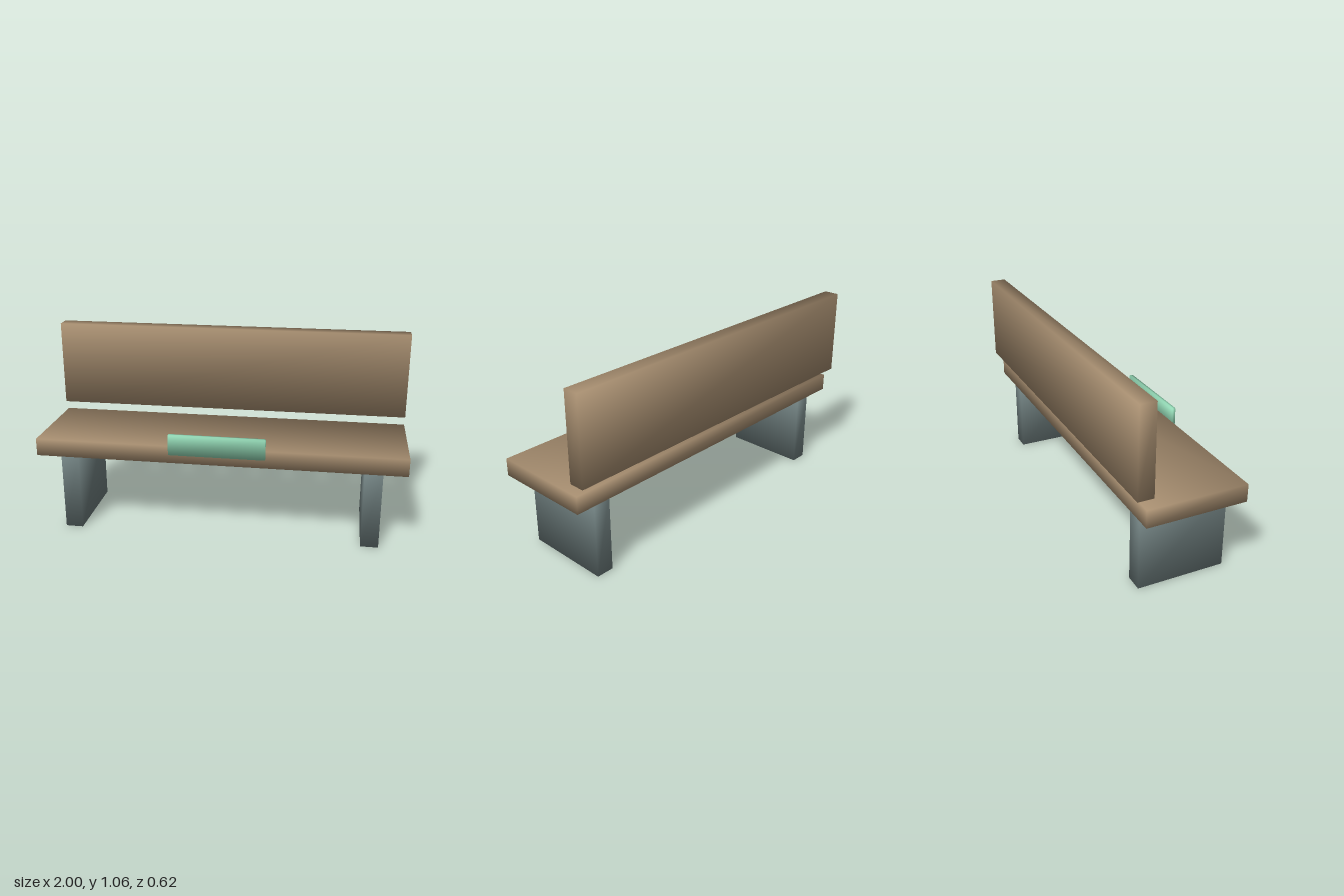
import * as THREE from 'three';
import { RoundedBoxGeometry } from 'three/addons/geometries/RoundedBoxGeometry.js';

// Smooth normals shared at each corner, pointing out along the diagonal
function softenCorners(geometry) {
  const p = geometry.attributes.position;
  const n = geometry.attributes.normal;
  const v = new THREE.Vector3();
  for (let i = 0; i < p.count; i++) {
    v.set(Math.sign(p.getX(i)), Math.sign(p.getY(i)), Math.sign(p.getZ(i))).normalize();
    n.setXYZ(i, v.x, v.y, v.z);
  }
  return geometry;
}

// Block given by its lower and upper corners, with an optional chamfer
function block(name, material, [x0, y0, z0], [x1, y1, z1], chamfer = 0) {
  const size = [x1 - x0, y1 - y0, z1 - z0];
  const geometry = chamfer
    ? new RoundedBoxGeometry(...size, 1, chamfer)
    : new THREE.BoxGeometry(...size);
  const mesh = new THREE.Mesh(softenCorners(geometry), material);
  mesh.name = name;
  mesh.position.set((x0 + x1) / 2, (y0 + y1) / 2, (z0 + z1) / 2);
  return mesh;
}

export function createModel() {
  const wood = new THREE.MeshStandardMaterial({ color: 0xa88f71 });
  wood.name = 'wood';
  const stone = new THREE.MeshStandardMaterial({ color: 0x728282 });
  stone.name = 'greyStone';
  const mint = new THREE.MeshStandardMaterial({ color: 0x93d8b5 });
  mint.name = 'mintGreen';

  const bench = new THREE.Group();
  bench.name = 'bench';

  // Seat plank and floating backrest plank
  bench.add(block('seat', wood, [-1, 0.435, -0.26], [1, 0.53, 0.28]));
  bench.add(block('backrest', wood, [-1, 0.585, -0.308], [1, 1.06, -0.223]));

  // Slab legs, mirrored
  for (const [name, x] of [['leftLeg', 0.825], ['rightLeg', -0.825]]) {
    bench.add(block(name, stone, [x - 0.048, 0, -0.228], [x + 0.048, 0.437, 0.25]));
  }

  // Plaque just in front of the seat edge
  bench.add(block('plaque', mint, [-0.26, 0.488, 0.284], [0.26, 0.605, 0.308], 0.007));

  return bench;
}
